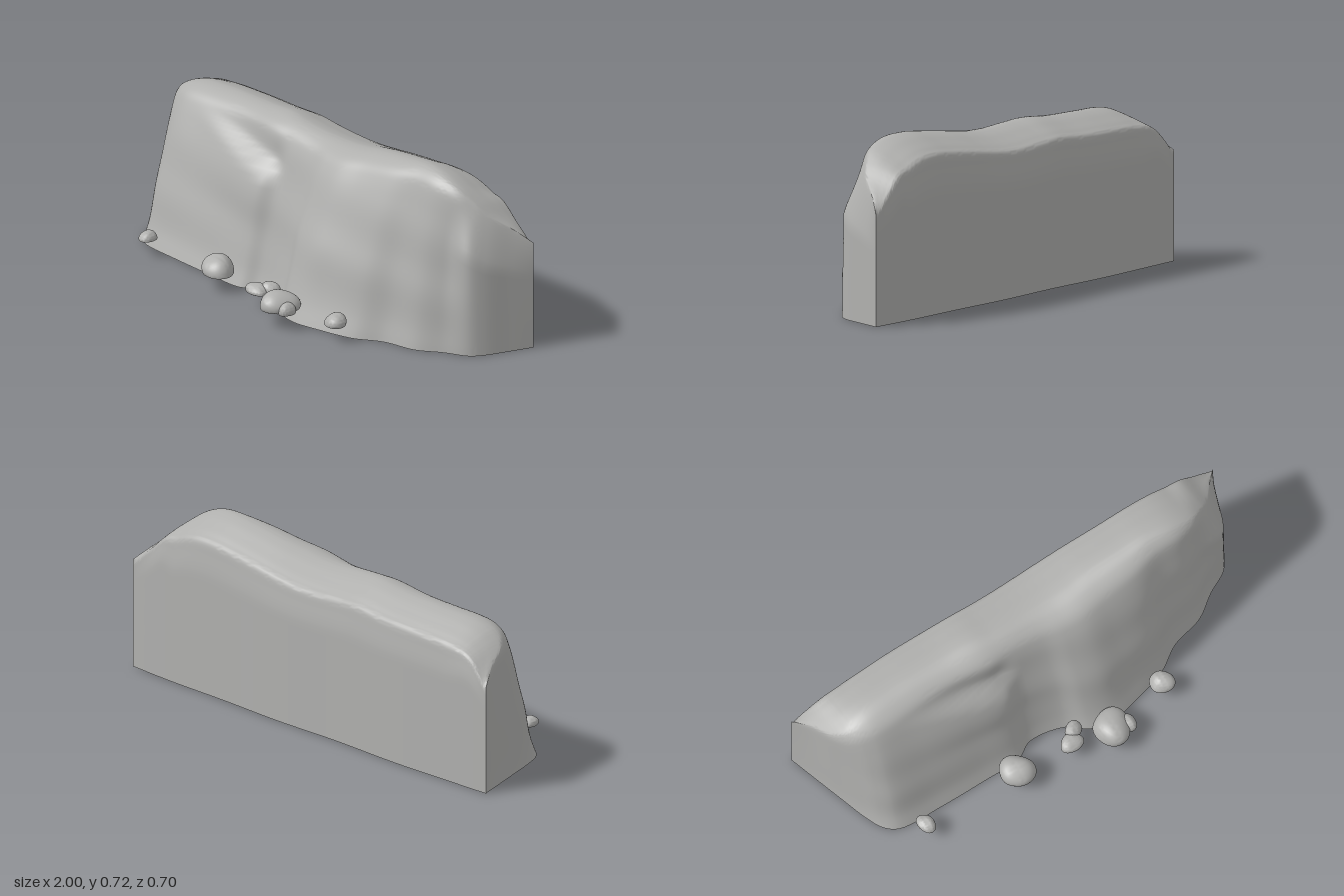
import * as THREE from 'three';
import { toCreasedNormals, mergeVertices } from 'three/addons/utils/BufferGeometryUtils.js';

const rock = new THREE.MeshStandardMaterial({ color: 0xb0b0ae, side: THREE.DoubleSide });
rock.name = 'grey rock';

// Columns along the cliff: foot x, foot z, ridge x, ridge z, ridge height
const COLUMNS = [
  [-1, -0.33, -1, -0.33, 0.45], [-0.965, -0.22, -0.96, -0.26, 0.507],
  [-0.92, -0.08, -0.92, -0.17, 0.555], [-0.88, 0.04, -0.88, -0.14, 0.59],
  [-0.845, 0.11, -0.84, -0.14, 0.615], [-0.79, 0.15, -0.77, -0.15, 0.637],
  [-0.60, 0.16, -0.60, -0.16, 0.648], [-0.40, 0.16, -0.40, -0.16, 0.655],
  [-0.23, 0.155, -0.25, -0.155, 0.667], [-0.15, 0.115, -0.15, -0.14, 0.662],
  [0, 0.14, 0, -0.14, 0.655], [0.08, 0.20, 0.10, -0.14, 0.658],
  [0.17, 0.22, 0.20, -0.14, 0.67], [0.30, 0.195, 0.30, -0.15, 0.685],
  [0.45, 0.15, 0.45, -0.15, 0.705], [0.56, 0.08, 0.57, -0.15, 0.717],
  [0.70, 0.04, 0.68, -0.14, 0.71], [0.80, -0.03, 0.77, -0.14, 0.677],
  [0.89, -0.08, 0.835, -0.16, 0.628], [0.925, -0.13, 0.89, -0.2, 0.572],
  [0.965, -0.235, 0.945, -0.27, 0.518], [1, -0.33, 1, -0.33, 0.46],
];

// Cross-section: depth (0 foot, 1 ridge, 2 back wall) against relative height
const SECTION = [
  [0, 0], [0.1, 0.13], [0.22, 0.36], [0.32, 0.52], [0.5, 0.76], [0.61, 0.88], [0.7, 0.945],
  [0.85, 0.987], [1, 1], [1.25, 0.985], [1.5, 0.955], [1.75, 0.92], [1.91, 0.885], [1.95, 0.82],
  [2, 0.7], [2, 0.45], [2, 0.2], [2, 0],
];

const step = THREE.MathUtils.smoothstep;
const lerp = THREE.MathUtils.lerp;
const curve = (points) => new THREE.CatmullRomCurve3(points.map((p) => new THREE.Vector3(...p)));

// Sloping ledge high on the face: bulge below its edge, hollow above
function ledge(x, y) {
  const along = step(x, -0.7, -0.3) * (1 - step(x, -0.22, -0.12));
  const edge = 0.455 - 0.2 * (x + 0.2);
  const bulge = step(y, edge - 0.25, edge - 0.02) * (1 - step(y, edge - 0.01, edge + 0.06));
  const hollow = step(y, edge, edge + 0.06) * (1 - step(y, edge + 0.06, edge + 0.17));
  return along * (0.022 * bulge - 0.026 * hollow);
}

// How far a point on the face has leaned from foot to ridge
function lean(p, footX) {
  const s = Math.max(0, p.x);
  const ends = step(Math.abs(footX), 0.78, 0.9);
  // The right end is an upright wall with a bevel above, the left end leans evenly
  const end = footX > 0 ? 0.12 * s + 0.88 * Math.max(0, (p.y - 0.68) / 0.32) : s ** 0.8;
  return lerp(s, end, ends);
}

function cliffGeometry() {
  const foot = curve(COLUMNS.map(([x, z]) => [x, 0, z]));
  const ridge = curve(COLUMNS.map(([, , x, z, h]) => [x, h, z]));
  const section = curve(SECTION.map(([s, t]) => [s, t, 0]));
  const NU = 147, NV = 85;
  const positions = [], index = [];
  for (let i = 0; i <= NU; i++) {
    const f = foot.getPoint(i / NU), r = ridge.getPoint(i / NU);
    const ends = step(Math.abs(f.x), 0.78, 0.92);
    const backZ = -0.33 - 0.016 * (1 - r.x ** 4) - 0.004 * Math.sin(r.x * 9) * (1 - r.x ** 2);
    for (let j = 0; j <= NV; j++) {
      const p = section.getPoint(j / NV);
      let t = Math.max(0, p.y), x = r.x, z;
      if (p.x <= 1) {
        const s = lean(p, f.x);
        x = lerp(f.x, r.x, s);
        z = lerp(f.z, r.z, s) + ledge(x, t * r.y);
        // Gentle strata
        z += 0.003 * Math.sin(t * r.y * 24 + x * 4) * Math.sin(Math.PI * t) * (1 - ends);
      } else {
        // The back edge stays higher towards both ends
        z = lerp(r.z, backZ, Math.min(1, p.x - 1));
        t += 0.6 * ends * (1 - t) * t * t;
      }
      positions.push(x, t * r.y, z);
    }
  }
  const row = NV + 1;
  for (let i = 0; i < NU; i++) {
    for (let j = 0; j < NV; j++) {
      const a = i * row + j, b = a + row;
      index.push(a, b, b + 1, a, b + 1, a + 1);
    }
  }
  const g = new THREE.BufferGeometry();
  g.setAttribute('position', new THREE.Float32BufferAttribute(positions, 3));
  g.setIndex(index);
  return toCreasedNormals(g, 0.7);
}

// Rounded, slightly lumpy stone with a flat base
function stoneGeometry(rx, rz, height, seed) {
  let g = new THREE.IcosahedronGeometry(1, 6);
  g.deleteAttribute('normal');
  g.deleteAttribute('uv');
  g = mergeVertices(g);
  const p = g.attributes.position;
  for (let i = 0; i < p.count; i++) {
    const x = p.getX(i), y = p.getY(i), z = p.getZ(i);
    const lump = 1 + 0.1 * Math.sin(2.3 * x + seed) * Math.cos(2 * z - seed * 1.7)
      + 0.05 * Math.sin(3 * y + 2 * x + seed * 3);
    p.setXYZ(i, x * rx * lump, Math.max(0, (y + 0.15) / 1.15) * height * lump, z * rz * lump);
  }
  return toCreasedNormals(g, 0.7);
}

// Stones: x, z, half width, half depth, height
const STONES = [
  [-0.705, 0.21, 0.035, 0.042, 0.034], [-0.28, 0.22, 0.072, 0.066, 0.072],
  [-0.03, 0.235, 0.05, 0.038, 0.035], [0.005, 0.19, 0.038, 0.034, 0.04],
  [0.14, 0.262, 0.075, 0.082, 0.065], [0.205, 0.28, 0.032, 0.042, 0.042],
  [0.415, 0.21, 0.048, 0.05, 0.043],
];

export function createModel() {
  const model = new THREE.Group();
  model.name = 'rockCliff';
  const cliff = new THREE.Mesh(cliffGeometry(), rock);
  cliff.name = 'cliff';
  model.add(cliff);
  STONES.forEach(([x, z, rx, rz, h], i) => {
    const stone = new THREE.Mesh(stoneGeometry(rx, rz, h, i * 1.9 + 0.6), rock);
    stone.name = `stone${i + 1}`;
    stone.position.set(x, 0.07, z);
    model.add(stone);
  });
  return model;
}
